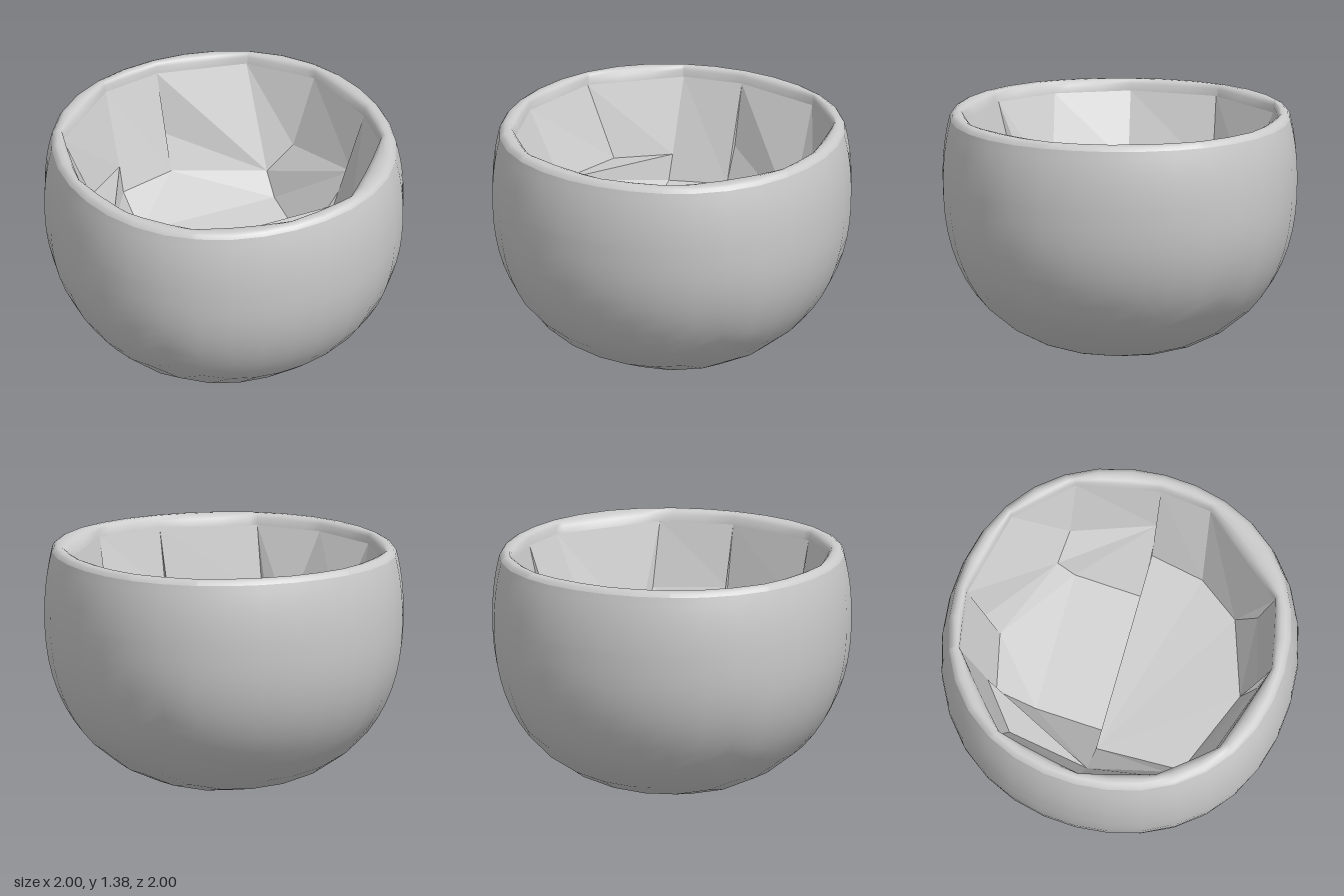
import * as THREE from 'three';
import { mergeVertices } from 'three/addons/utils/BufferGeometryUtils.js';

const flat = () => new THREE.MeshStandardMaterial({ color: 0xcccccc, flatShading: true, side: THREE.DoubleSide });
const smooth = () => new THREE.MeshStandardMaterial({ color: 0xcccccc, side: THREE.DoubleSide });

function named(name, geometry, material) {
  const mesh = new THREE.Mesh(geometry, material);
  mesh.name = name;
  return mesh;
}

// The bowl is very slightly squarish in plan
const bulge = a => 1 + 0.022 * Math.sin(2 * a) ** 2;

// Non-indexed geometry from polygons, each cut into a fan
function polygons(list) {
  const pos = [];
  for (const p of list)
    for (let i = 1; i < p.length - 1; i++) pos.push(...p[0], ...p[i], ...p[i + 1]);
  const g = new THREE.BufferGeometry();
  g.setAttribute('position', new THREE.Float32BufferAttribute(pos, 3));
  g.computeVertexNormals();
  return g;
}

// Distance from the axis to a closed outline [x, z] along an angle
function outlineRadius(outline, a) {
  const dx = Math.cos(a), dz = Math.sin(a);
  let best = 0;
  outline.forEach(([x, z], i) => {
    const [u, v] = outline[(i + 1) % outline.length];
    const ex = u - x, ez = v - z;
    const det = dx * ez - dz * ex;
    if (Math.abs(det) < 1e-9) return;
    const r = (x * ez - z * ex) / det;
    const t = (x * dz - z * dx) / det;
    if (r > 0 && t > -1e-6 && t < 1 + 1e-6) best = Math.max(best, r);
  });
  return best;
}

// Outer shell: a gridded cube rounded into a bowl, lid left off
function shellGeometry() {
  const g = new THREE.BoxGeometry(2, 2, 2, 8, 16, 8);
  const pos = g.attributes.position;
  const n = 2.3;
  const warp = c => Math.tan(c * Math.PI / 4);
  for (let i = 0; i < pos.count; i++) {
    const y = pos.getY(i);
    const x = warp(pos.getX(i)), z = warp(pos.getZ(i));
    const h = Math.hypot(x, z);
    const b = bulge(Math.atan2(z, x));
    if (y > 0) {
      const k = h > 0 ? b * (1 - 0.04 * y ** 2.2) / h : 0;
      pos.setXYZ(i, x * k, 1 + 0.345 * y, z * k);
    } else {
      const down = -warp(y);
      const k = 1 / Math.pow(h ** n + down ** n, 1 / n);
      pos.setXYZ(i, x * k * b, 1 - down * k, z * k * b);
    }
  }
  const lid = g.groups[2];
  g.setIndex(Array.from(g.index.array).filter((_, i) => i < lid.start || i >= lid.start + lid.count));
  g.clearGroups();
  g.deleteAttribute('uv');
  g.deleteAttribute('normal');
  const merged = mergeVertices(g, 1e-4);
  merged.computeVertexNormals();
  return merged;
}

// Cavity columns: top x, z, then foot x, y, z
const COLUMNS = [
  [0.87, 0, 0.68, 0.76, 0], [0.83, 0.3, 0.62, 0.74, 0.31],
  [0.41, 0.79, 0.44, 0.74, 0.55], [0, 0.88, 0, 0.75, 0.7],
  [-0.53, 0.72, -0.51, 0.75, 0.5], [-0.78, 0.42, -0.58, 0.85, 0.42],
  [-0.89, 0, -0.7, 0.92, 0], [-0.77, -0.49, -0.6, 0.9, -0.48],
  [-0.34, -0.84, -0.33, 0.76, -0.63], [0, -0.89, 0, 0.77, -0.7],
  [0.5, -0.77, 0.5, 0.75, -0.5], [0.78, -0.47, 0.65, 0.9, -0.47],
];
const LIP = 1.31;

// Rim: smooth blend from the round shell to the many-sided opening
function rimGeometry() {
  const inner = COLUMNS.map(c => [c[0], c[1]]);
  const turn = 2 * Math.PI;
  const round = Array.from({ length: 32 }, (_, i) => {
    const a = i * turn / 32;
    return [Math.cos(a) * bulge(a), Math.sin(a) * bulge(a)];
  });
  const angles = [...round, ...inner].map(([x, z]) => (Math.atan2(z, x) + turn) % turn)
    .sort((a, b) => a - b).filter((a, i, s) => i === 0 || a - s[i - 1] > 1e-4);
  // outer radius, height, share of the way to the opening
  const rings = [[0.96, 1.345, 0], [0.948, 1.364, 0], [0.93, 1.374, 0], [0.915, 1.375, 0.2],
    [0.915, 1.368, 0.55], [0.915, 1.35, 0.85], [0.915, LIP, 1]];
  const pos = [], index = [], n = angles.length;
  for (const [r, y, t] of rings)
    for (const a of angles) {
      const d = THREE.MathUtils.lerp(r * outlineRadius(round, a), outlineRadius(inner, a), t);
      pos.push(d * Math.cos(a), y, d * Math.sin(a));
    }
  for (let j = 0; j < rings.length - 1; j++)
    for (let i = 0; i < n; i++) {
      const a = j * n + i, b = j * n + (i + 1) % n;
      index.push(a, a + n, b, b, a + n, b + n);
    }
  const g = new THREE.BufferGeometry();
  g.setAttribute('position', new THREE.Float32BufferAttribute(pos, 3));
  g.setIndex(index);
  g.computeVertexNormals();
  return g;
}

export function createModel() {
  const group = new THREE.Group();
  group.name = 'bowl';
  group.add(named('outerShell', shellGeometry(), smooth()));
  group.add(named('rim', rimGeometry(), smooth()));

  // Roughly carved inner walls; some stop early on a ledge
  const top = COLUMNS.map(c => [c[0], LIP, c[1]]);
  const foot = COLUMNS.map(c => c.slice(2));
  const ledge = {
    0: [0.79, 0.96, 0], 2: [0.41, 0.95, 0.69], 3: [0, 0.965, 0.8],
    4: [-0.52, 0.93, 0.63], 8: [-0.33, 0.9, -0.68], 9: [0, 0.965, -0.8],
  };
  const ledgeAtStart = [2, 3, 9], ledgeAtEnd = [0, 3, 4, 8];
  const walls = top.map((p, i) => {
    const j = (i + 1) % top.length;
    return [p, top[j], ledgeAtEnd.includes(j) ? ledge[j] : foot[j], ledgeAtStart.includes(i) ? ledge[i] : foot[i]];
  });
  group.add(named('innerWalls', polygons(walls), flat()));

  // Ledges, and the slivers of wall beside them
  const slivers = Object.keys(ledge).map(i => [top[i], ledge[i], foot[i]]);
  group.add(named('ledges', polygons([
    ...slivers,
    [ledge[2], ledge[3], foot[3], foot[2]],
    [ledge[3], ledge[4], foot[4], foot[3]],
    [ledge[9], foot[10], foot[9]],
  ]), flat()));

  // Front floor, and the lower back floor sloping down to a step across the middle
  const mid = [-0.51, 0.74, 0];
  const slopeL = [-0.33, 0.63, -0.4], slopeR = [0.5, 0.63, -0.4];
  const lowL = [-0.33, 0.55, 0], lowR = [0.5, 0.55, 0];
  group.add(named('frontFloor', polygons([
    [mid, foot[4], foot[3], foot[2], foot[1], foot[0]],
    [mid, foot[6], foot[5], foot[4]],
  ]), flat()));
  group.add(named('backFloor', polygons([
    [foot[9], foot[8], slopeL, slopeR, foot[10]],
    [slopeL, lowL, lowR, slopeR],
    [foot[6], foot[7], ledge[8], foot[8], slopeL, lowL],
    [ledge[0], foot[11], foot[10], slopeR, lowR],
  ]), flat()));
  group.add(named('floorStep', polygons([
    [mid, foot[6], lowL, lowR, foot[0]],
    [foot[0], lowR, ledge[0]],
  ]), flat()));
  return group;
}
